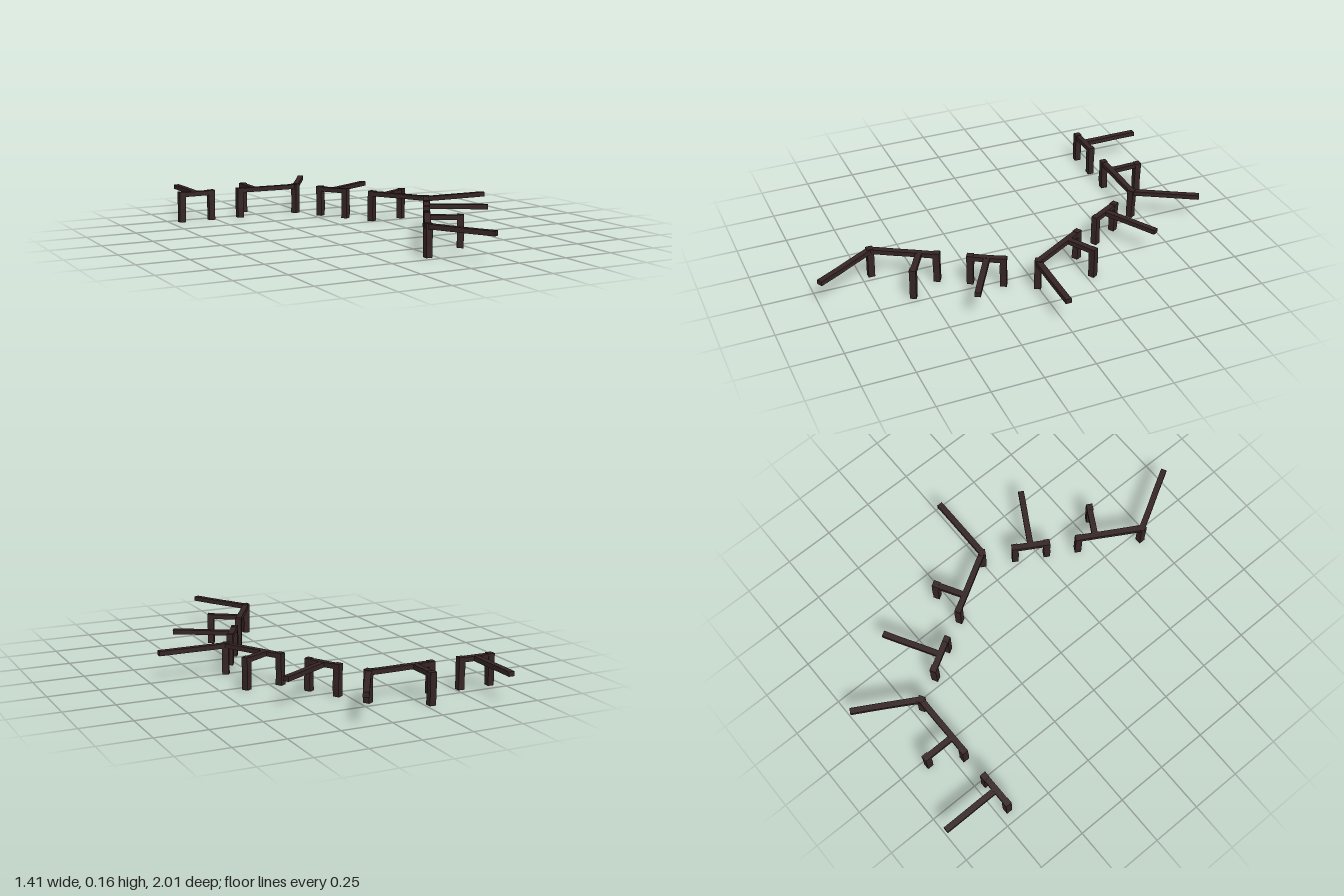
import * as THREE from 'three';

const wood = new THREE.MeshStandardMaterial({ color: 0x352424 });
wood.name = 'darkWood';

const TOP = 0.157;
let seed = 7;
const jitter = (a) => {
  seed = (seed * 16807) % 2147483647;
  return (seed / 2147483647 * 2 - 1) * a;
};

// Rough-hewn square timber along y: every ring of corners is nudged and scaled a little
function timber(length, width, depth, rings, rough) {
  const geo = new THREE.BoxGeometry(width, length, depth, 1, rings, 1);
  const nudges = Array.from({ length: rings + 1 }, () => [jitter(rough), jitter(rough), 1 + jitter(rough * 25)]);
  const p = geo.attributes.position;
  for (let i = 0; i < p.count; i++) {
    const [dx, dz, s] = nudges[Math.round((p.getY(i) / length + 0.5) * rings)];
    p.setX(i, p.getX(i) * s + dx);
    p.setZ(i, p.getZ(i) * s + dz);
  }
  const flat = geo.toNonIndexed();
  flat.computeVertexNormals();
  return flat;
}

function post(name, x, z, yaw = 0) {
  const mesh = new THREE.Mesh(timber(TOP, 0.032, 0.032, 3, 0.0015), wood);
  mesh.name = name;
  mesh.position.set(x, TOP / 2, z);
  mesh.rotation.y = yaw;
  return mesh;
}

// Horizontal timber between two ground-plan points
function beam(name, x0, z0, x1, z1, y = 0.143) {
  const dx = x1 - x0, dz = z1 - z0;
  const length = Math.hypot(dx, dz);
  const geo = timber(length, 0.023, 0.029, 3, 0.0006);
  geo.rotateZ(-Math.PI / 2);
  const mesh = new THREE.Mesh(geo, wood);
  mesh.name = name;
  mesh.position.set((x0 + x1) / 2, y, (z0 + z1) / 2);
  mesh.rotation.y = Math.atan2(-dz, dx);
  return mesh;
}

// One side of the hexagonal plan, lying at z = -0.70 from its centre
function side() {
  const g = new THREE.Group();
  const z = -0.7;

  // Doorway frame with a long cantilevered beam
  const doorway = new THREE.Group();
  doorway.name = 'doorwayFrame';
  doorway.add(
    post('doorPostRight', -0.24, z),
    post('doorPostLeft', -0.08, z),
    beam('lintel', -0.255, z, -0.065, z),
    beam('longOuterBeam', -0.16, z, -0.16, -0.998, 0.142)
  );

  // Longer frame with a propped short beam and a radial corner beam
  const corner = new THREE.Group();
  corner.name = 'cornerFrame';
  const c = 0.405, len = 0.342, a = Math.PI / 3;
  corner.add(
    post('wallPost', 0.082, z),
    post('cornerPost', c, z, Math.PI / 6),
    post('outerProp', 0.166, -0.853),
    beam('wallBeam', 0.066, z, c + 0.01, z),
    beam('shortOuterBeam', 0.166, z, 0.166, -0.868),
    beam('cornerBeam', c, z, c + len * Math.cos(a), z - len * Math.sin(a), 0.142)
  );
  g.add(doorway, corner);
  return g;
}

export function createModel() {
  const model = new THREE.Group();
  model.name = 'timberFrame';
  // Three of the six sides, turned about the centre of the hexagon
  ['backSide', 'leftBackSide', 'leftFrontSide'].forEach((name, k) => {
    const s = side();
    s.name = name;
    s.position.x = -0.445;
    s.rotation.y = -k * Math.PI / 3;
    model.add(s);
  });
  return model;
}
